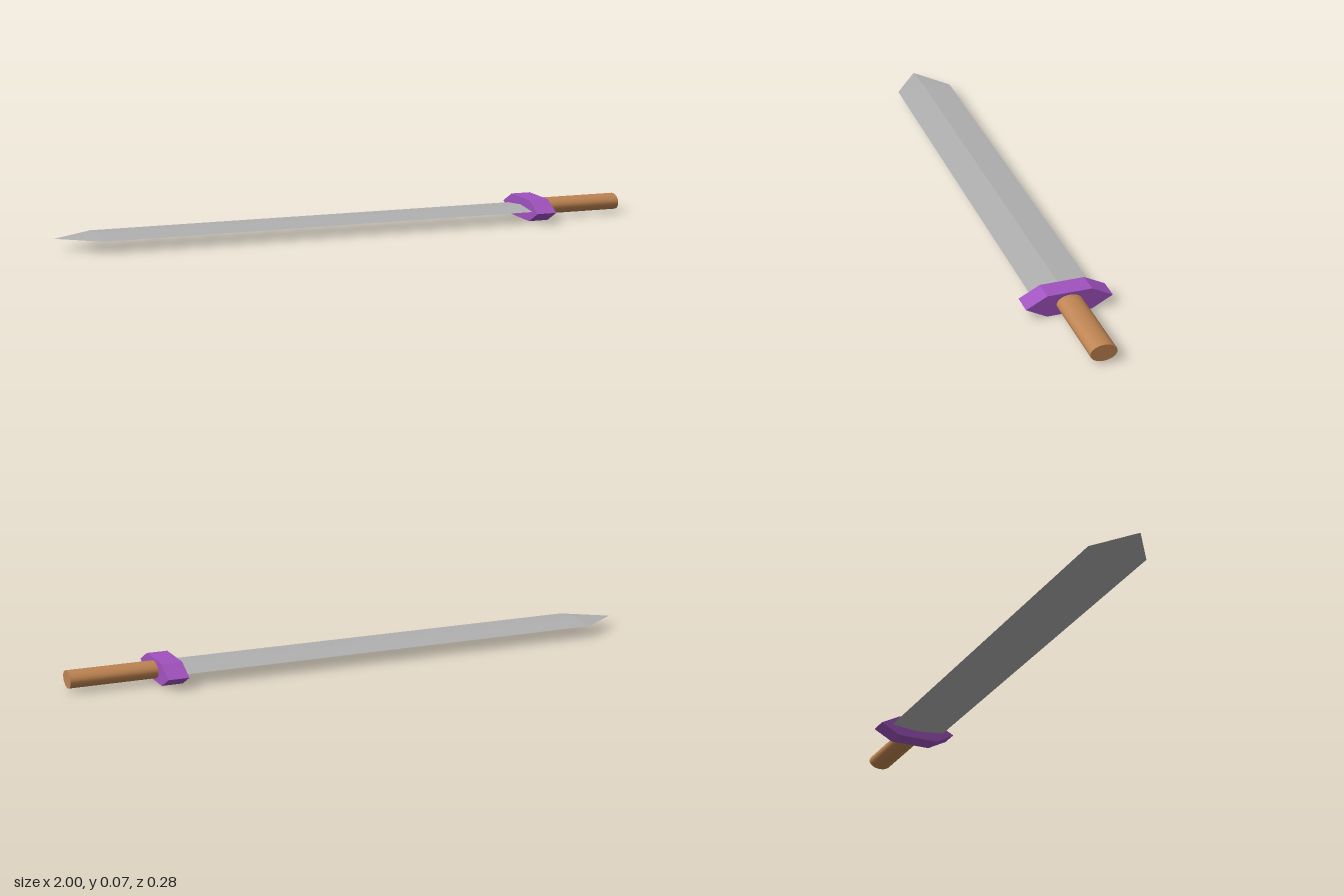
import * as THREE from 'three';

const MID_Y = 0.037;

const steel = new THREE.MeshStandardMaterial({ color: 0xb0b0b0 });
steel.name = 'steel';
const purple = new THREE.MeshStandardMaterial({ color: 0xa052be });
purple.name = 'purple';
const wood = new THREE.MeshStandardMaterial({ color: 0xbd8351 });
wood.name = 'wood';

// Bar along x from x0 (startScale) to x1 (full size) with half height hy and half width hz
function bar(x0, x1, hy, hz, sides, startScale = 1) {
  const g = new THREE.CylinderGeometry(startScale, 1, x1 - x0, sides);
  g.rotateZ(Math.PI / 2);
  g.scale(1, hy, hz);
  g.translate((x0 + x1) / 2, MID_Y, 0);
  return g;
}

function faceted(g) {
  const flat = g.toNonIndexed();
  flat.computeVertexNormals();
  return flat;
}

export function createModel() {
  const model = new THREE.Group();
  model.name = 'sword';
  const add = (name, geometry, material) => {
    const mesh = new THREE.Mesh(geometry, material);
    mesh.name = name;
    model.add(mesh);
  };

  // Diamond-section blade and its tapered point
  add('blade', faceted(bar(-0.86, 0.65, 0.01, 0.1, 4)), steel);
  add('bladeTip', faceted(bar(-1, -0.86, 0.01, 0.1, 4, 0)), steel);

  // Hexagonal cross guard, extruded along x
  const outline = new THREE.Shape([
    [-0.142, MID_Y], [-0.073, 0], [0.073, 0],
    [0.142, MID_Y], [0.073, 0.073], [-0.073, 0.073],
  ].map(([z, y]) => new THREE.Vector2(z, y)));
  const guard = new THREE.ExtrudeGeometry(outline, { depth: 0.07, bevelEnabled: false });
  guard.rotateY(Math.PI / 2);
  guard.translate(0.64, 0, 0);
  add('guard', guard, purple);

  // Oval grip
  add('grip', bar(0.7, 1, 0.028, 0.043, 32), wood);

  return model;
}
